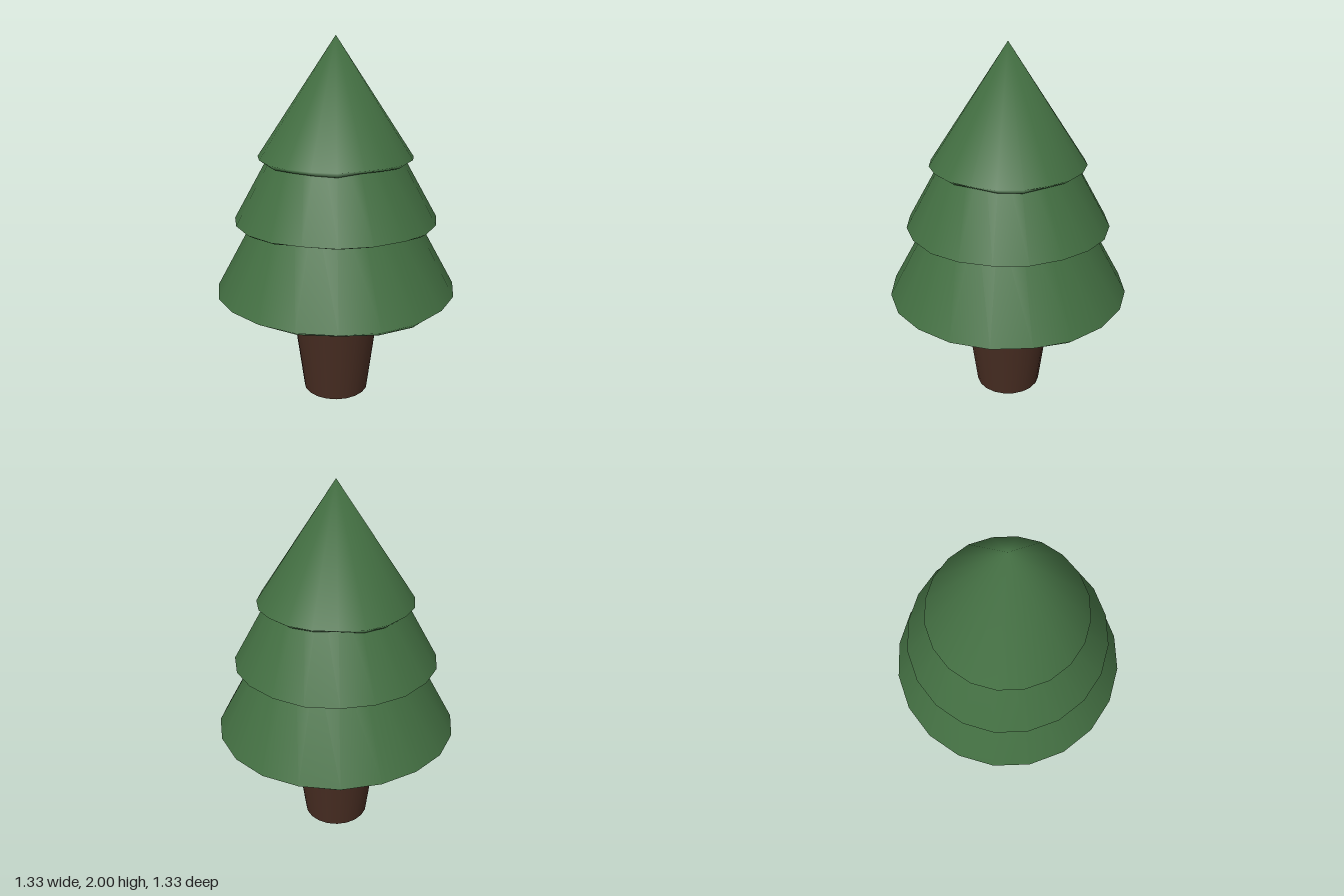
import * as THREE from 'three';
import { mergeVertices } from 'three/addons/utils/BufferGeometryUtils.js';

const SIDES = 20;
const green = new THREE.MeshStandardMaterial({ color: 0x436f42, side: THREE.DoubleSide });
const bark = new THREE.MeshStandardMaterial({ color: 0x482d22 });
const stubBark = new THREE.MeshStandardMaterial({ color: 0x482d22, flatShading: true });

// One foliage layer: hollow inside, broad rounded hem, rim and outer cone
function tier(name, { rim, y, hemY, top, topY, inner, innerY, seed }) {
  const profile = [[inner, innerY], [rim - 0.1, hemY], [rim - 0.03, hemY], [rim, y], [top, topY]];
  const swayByRing = [0, 1, 1, 0.4, 0];
  let geo = new THREE.LatheGeometry(profile.map(([r, h]) => new THREE.Vector2(r, h)), SIDES);

  // The hem sways up and down, the rim follows it slightly
  const pos = geo.attributes.position;
  for (let i = 0; i < pos.count; i++) {
    const a = Math.atan2(pos.getZ(i), pos.getX(i));
    const sway = 0.006 * Math.sin(3 * a + seed) + 0.006 * Math.sin(7 * a + seed * 2.3);
    pos.setY(i, pos.getY(i) + sway * swayByRing[i % profile.length]);
  }

  // Weld so the whole skin shades smoothly, including the tip
  geo.deleteAttribute('uv');
  geo.deleteAttribute('normal');
  geo = mergeVertices(geo, 1e-4);
  geo.computeVertexNormals();
  const mesh = new THREE.Mesh(geo, green);
  mesh.name = name;
  return mesh;
}

export function createModel() {
  const tree = new THREE.Group();
  tree.name = 'tree';

  // Trunk, widening upward into the foliage
  const trunk = new THREE.Mesh(new THREE.CylinderGeometry(0.308, 0.185, 0.95, SIDES), bark);
  trunk.name = 'trunk';
  trunk.position.y = 0.475;
  tree.add(trunk);

  // Broken branch stub, leaning up and back, with an upright cut end
  const stubGeo = new THREE.CylinderGeometry(0.033, 0.088, 0.225, 6).rotateZ(-Math.PI / 2);
  const shear = new THREE.Matrix4().set(
    1, 0, 0, 0.2725,
    0.5, 1, 0, 0.522,
    -0.25, 0, 1, -0.107,
    0, 0, 0, 1);
  stubGeo.applyMatrix4(shear);
  const stub = new THREE.Mesh(stubGeo, stubBark);
  stub.name = 'branchStub';
  tree.add(stub);

  // Three stacked foliage layers
  tree.add(
    tier('lowerFoliage', { rim: 0.665, y: 0.637, hemY: 0.615, top: 0.36, topY: 1.19, inner: 0.3, innerY: 0.95, seed: 0.6 }),
    tier('middleFoliage', { rim: 0.555, y: 1.033, hemY: 1.02, top: 0.27, topY: 1.54, inner: 0.36, innerY: 1.19, seed: 2.1 }),
    tier('upperFoliage', { rim: 0.42, y: 1.372, hemY: 1.35, top: 0, topY: 2, inner: 0.27, innerY: 1.54, seed: 4.4 }));
  return tree;
}
